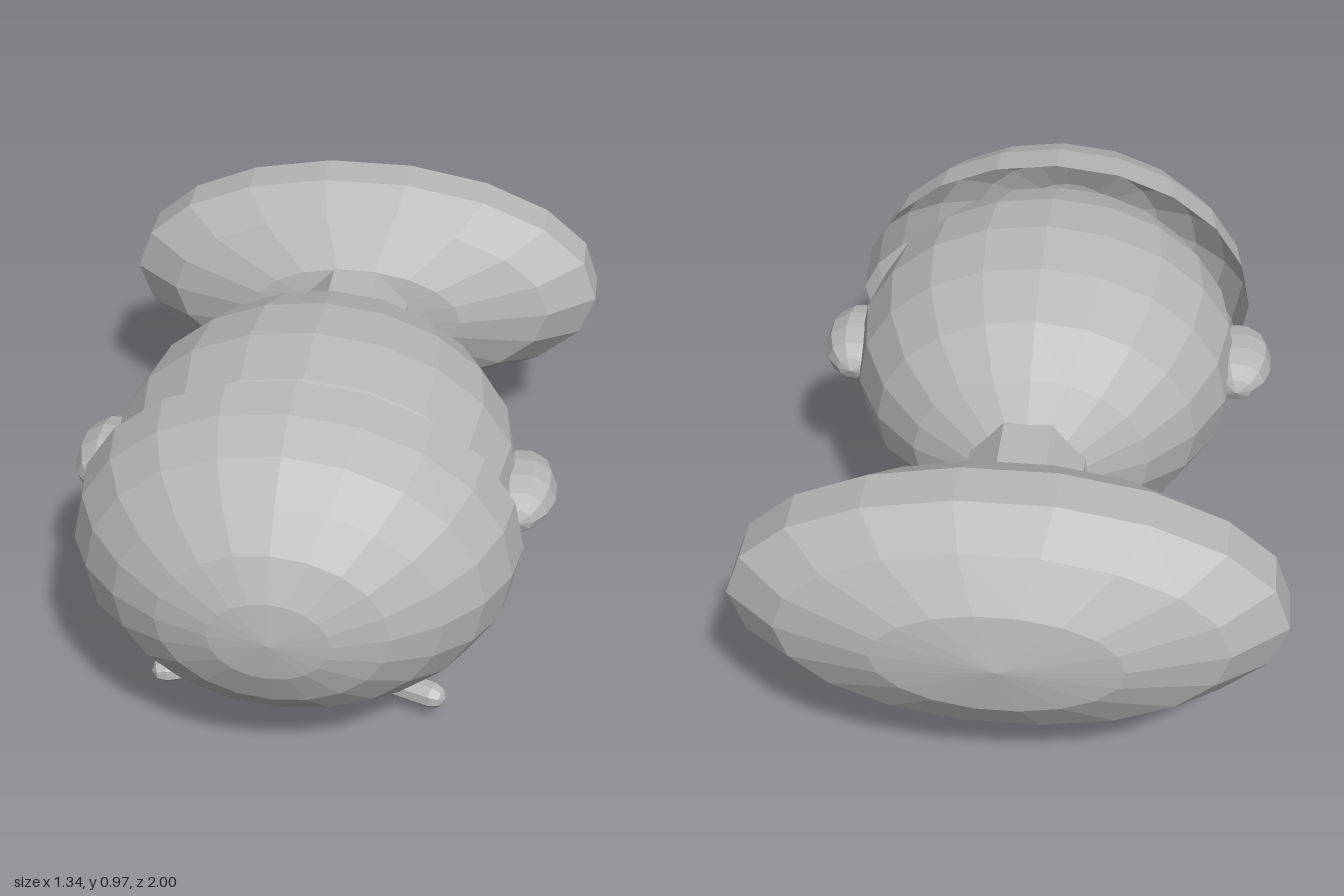
import * as THREE from 'three';

export function createModel() {
  const model = new THREE.Group();
  const grey = new THREE.MeshStandardMaterial({ color: 0xb8b8b8, flatShading: true, side: THREE.DoubleSide });
  grey.name = 'plain grey';

  const add = (name, geometry, x, y, z) => {
    const mesh = new THREE.Mesh(geometry, grey);
    mesh.name = name;
    mesh.position.set(x, y, z);
    model.add(mesh);
    return mesh;
  };

  // Faceted ellipsoid with its poles along z; arc < PI leaves it open at the back
  const ellipsoid = (name, pos, radii, sides, rings, arc = Math.PI) => {
    const g = new THREE.SphereGeometry(1, sides, rings, 0, Math.PI * 2, 0, arc);
    g.rotateX(Math.PI / 2).scale(...radii);
    return add(name, g, ...pos);
  };

  // Round-ended rod between two axis points
  const rod = (name, a, b, radius) => {
    const start = new THREE.Vector3(...a), end = new THREE.Vector3(...b);
    const dir = end.clone().sub(start);
    const g = new THREE.CapsuleGeometry(radius, dir.length(), 2, 8);
    const mid = start.add(end).multiplyScalar(0.5);
    const mesh = add(name, g, mid.x, mid.y, mid.z);
    mesh.quaternion.setFromUnitVectors(new THREE.Vector3(0, 1, 0), dir.normalize());
    return mesh;
  };

  // Head with an open half-shell of hair over its front
  ellipsoid('head', [0, 0.54, 0.28], [0.52, 0.41, 0.57], 20, 10);
  ellipsoid('hairShell', [0, 0.555, 0.545], [0.55, 0.425, 0.455], 20, 6, Math.PI / 2);

  // Neck and broad flattened body
  const neck = new THREE.CylinderGeometry(0.16, 0.16, 0.3, 8);
  neck.rotateY(Math.PI / 8).rotateX(Math.PI / 2);
  add('neck', neck, 0, 0.54, -0.37);
  ellipsoid('body', [0, 0.545, -0.725], [0.687, 0.338, 0.275], 18, 7);

  // Paired features
  for (const [side, s] of [['left', 1], ['right', -1]]) {
    ellipsoid(side + 'Ear', [s * 0.525, 0.54, 0.29], [0.092, 0.075, 0.147], 10, 7);
    ellipsoid(side + 'Eye', [s * 0.21, 0.168, 0.395], [0.12, 0.042, 0.043], 10, 6);
    ellipsoid(side + 'Pupil', [s * 0.21, 0.125, 0.395], [0.03, 0.03, 0.03], 8, 6);
    rod(side + 'Brow', [s * 0.098, 0.083, 0.49], [s * 0.347, 0.083, 0.577], 0.034);
  }

  // Nose bridge, nose tip and mouth on the underside
  const bridge = ellipsoid('noseBridge', [0, 0.105, 0.3], [0.055, 0.045, 0.13], 8, 6);
  bridge.rotation.x = -0.2;
  ellipsoid('noseTip', [0, 0.073, 0.19], [0.068, 0.073, 0.068], 10, 7);
  rod('mouth', [-0.155, 0.11, 0.105], [0.155, 0.11, 0.105], 0.035);

  return model;
}
